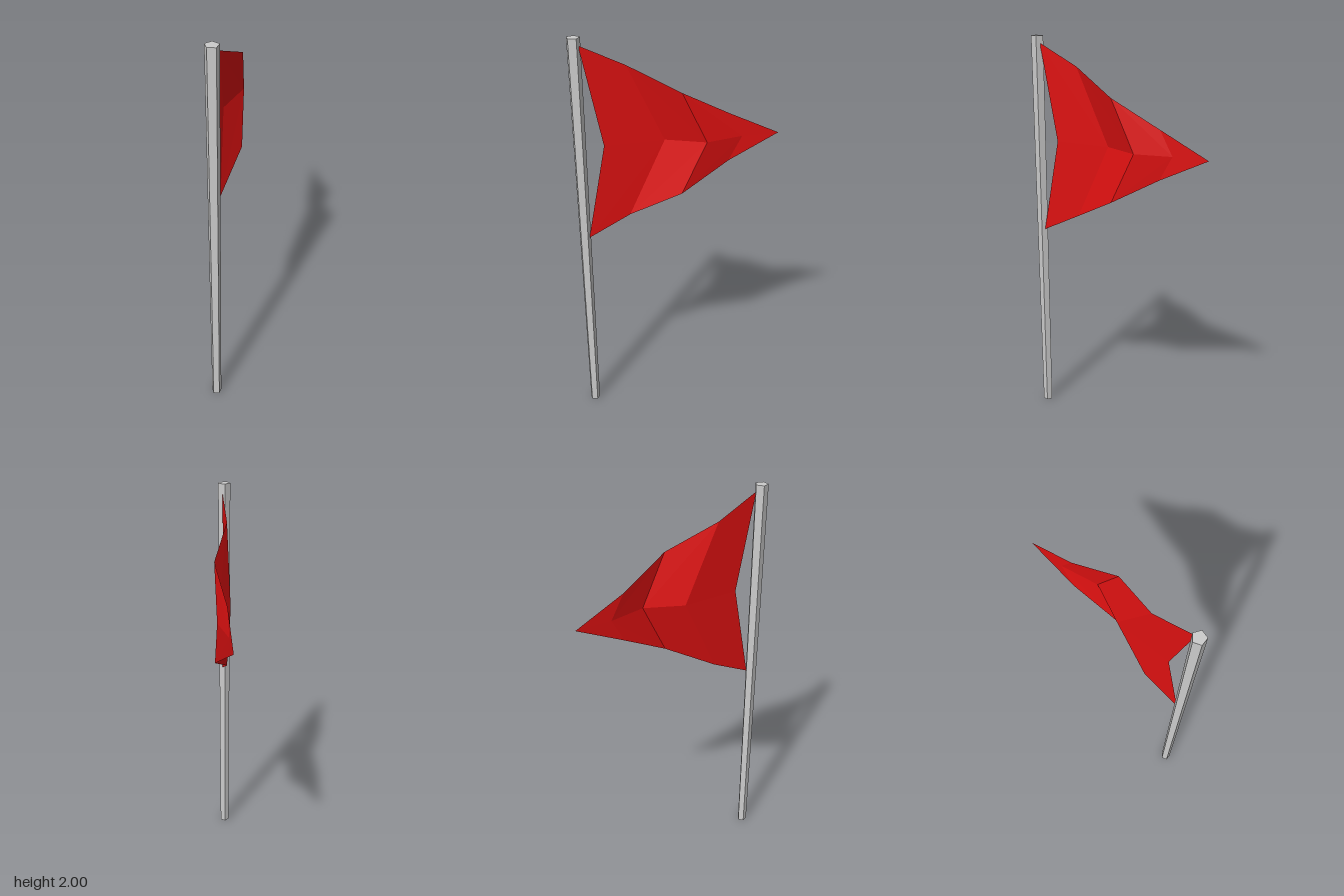
import * as THREE from 'three';

// Tapered five-sided pole
function createPole() {
  const geometry = new THREE.CylinderGeometry(0.032, 0.025, 2, 5, 1, false, THREE.MathUtils.degToRad(52));
  const pole = new THREE.Mesh(geometry, new THREE.MeshStandardMaterial({ color: 0xcccccc, flatShading: true }));
  pole.name = 'pole';
  pole.position.set(-0.407, 1, 0.211);
  return pole;
}

// Folded pennant: each column is a V of upper edge, middle and lower edge
function createPennant() {
  const midY = 1.488;
  // half height, edge x, edge z, middle x, middle z
  const columns = [
    [0.477, -0.385, 0.21, -0.305, 0.163],
    [0.375, -0.21, 0.1, -0.06, 0.008],
    [0.252, 0.037, 0.046, 0.14, -0.018],
    [0.12, 0.222, -0.11, 0.278, -0.145],
    [0, 0.433, -0.24, 0.433, -0.24],
  ];
  const positions = [];
  const index = [];
  columns.forEach(([half, ex, ez, mx, mz], i) => {
    positions.push(ex, midY + half, ez, mx, midY, mz, ex, midY - half, ez);
    if (i === columns.length - 1) return;
    const a = i * 3;
    const b = a + 3;
    const last = i === columns.length - 2;
    // upper and lower panels, which close to triangles at the tip
    index.push(a, a + 1, b + 1, a + 1, a + 2, b + 1);
    if (!last) index.push(a, b + 1, b, a + 2, b + 2, b + 1);
  });
  const geometry = new THREE.BufferGeometry();
  geometry.setAttribute('position', new THREE.Float32BufferAttribute(positions, 3));
  geometry.setIndex(index);
  const flat = geometry.toNonIndexed();
  flat.computeVertexNormals();
  const pennant = new THREE.Mesh(flat, new THREE.MeshStandardMaterial({
    color: 0xdd1111, flatShading: true, side: THREE.DoubleSide,
  }));
  pennant.name = 'pennant';
  return pennant;
}

export function createModel() {
  const group = new THREE.Group();
  group.name = 'flag';
  group.add(createPole(), createPennant());
  return group;
}
